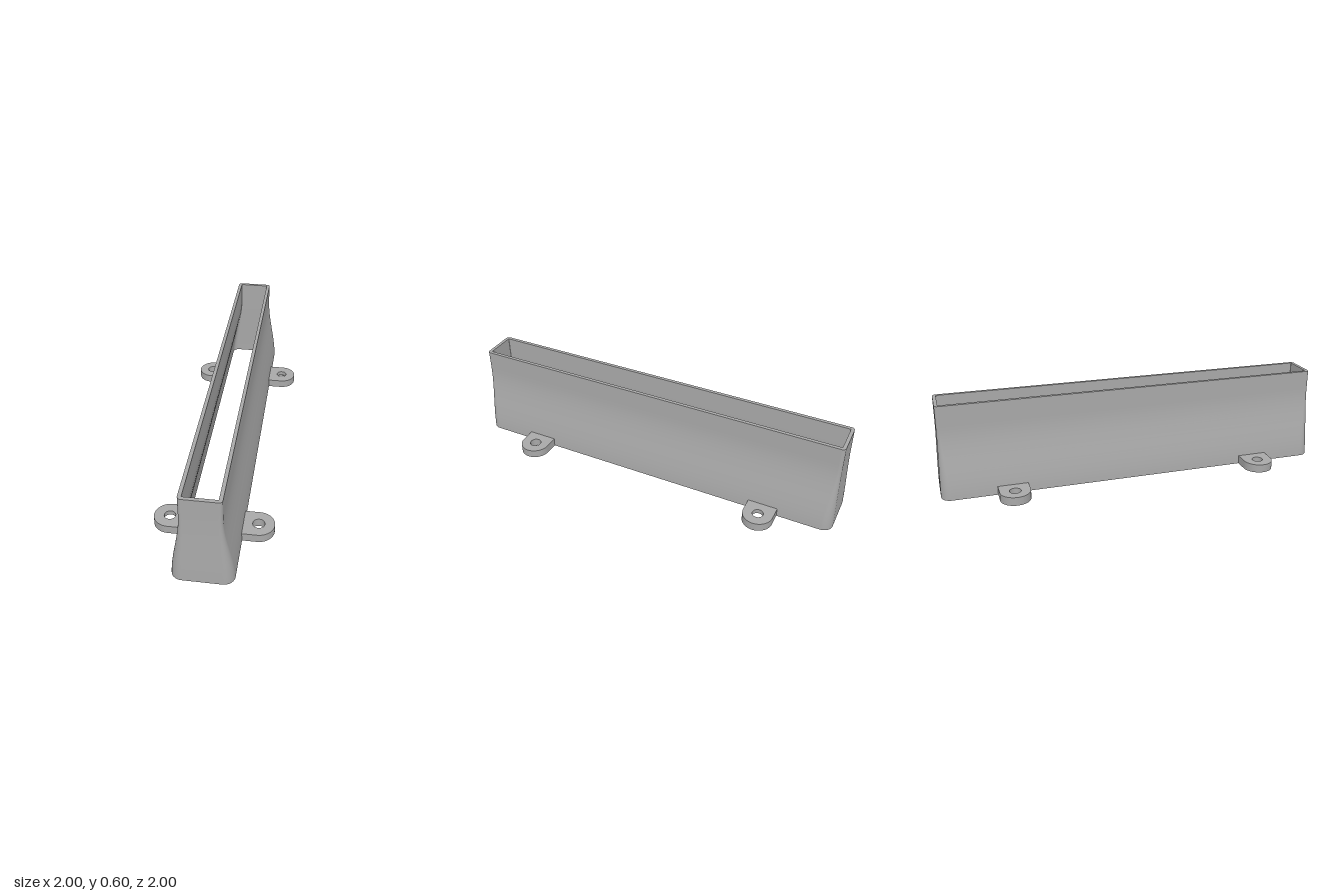
import * as THREE from 'three';

const HEIGHT = 0.6, WALL = 0.022, TAB_HEIGHT = 0.055;

// Rounded-rectangle loop at height y; flare eases out from the neck to the foot.
function ring(y, inset) {
  const t = 1 - THREE.MathUtils.smoothstep(y, -0.02, 0.47);
  const halfLength = THREE.MathUtils.lerp(1.26, 1.271, t) - inset;
  const halfWidth = THREE.MathUtils.lerp(0.12, 0.182, t) - inset;
  const r = Math.max(THREE.MathUtils.lerp(0.022, 0.065, t) - inset, 0.004);
  const pts = [];
  const steps = 8;
  for (let q = 0; q < 4; q++) {
    const cx = (halfLength - r) * (q === 0 || q === 3 ? 1 : -1);
    const cz = (halfWidth - r) * (q < 2 ? 1 : -1);
    for (let i = 0; i <= steps; i++) {
      const a = (q + i / steps) * Math.PI / 2;
      pts.push([cx + r * Math.cos(a), y, cz + r * Math.sin(a)]);
    }
  }
  return pts;
}

// Skin a sequence of closed loops.
function skin(rings) {
  const n = rings[0].length, index = [];
  for (let j = 0; j < rings.length - 1; j++) {
    for (let i = 0; i < n; i++) {
      const k = (i + 1) % n;
      const a = j * n + i, b = j * n + k, c = a + n, d = b + n;
      index.push(a, c, b, b, c, d);
    }
  }
  const g = new THREE.BufferGeometry();
  g.setAttribute('position', new THREE.Float32BufferAttribute(rings.flat(2), 3));
  g.setIndex(index);
  g.computeVertexNormals();
  return g;
}

// Round-ended lug with a screw hole, lying flat.
function lug(u, hole, height) {
  const v = 0.27, r = 0.097, root = 0.17;
  const s = new THREE.Shape();
  s.moveTo(u - r, root);
  s.lineTo(u + r, root);
  s.lineTo(u + r, v);
  s.absarc(u, v, r, 0, Math.PI, false);
  s.lineTo(u - r, root);
  s.holes.push(new THREE.Path().absarc(u, v, hole, 0, Math.PI * 2, true));
  const g = new THREE.ExtrudeGeometry(s, { depth: height, bevelEnabled: false, curveSegments: 24 });
  return g.rotateX(-Math.PI / 2);
}

export function createModel() {
  const model = new THREE.Group();
  model.name = 'ductAdapter';
  const grey = new THREE.MeshStandardMaterial({ color: 0xa8a8a8 });
  grey.name = 'grey plastic';
  const add = (parent, name, geometry) => {
    const m = new THREE.Mesh(geometry, grey);
    m.name = name;
    parent.add(m);
    return m;
  };

  // Hollow flared sleeve, open at both ends
  const sleeve = new THREE.Group();
  sleeve.name = 'sleeve';
  const levels = Array.from({ length: 21 }, (_, i) => i * HEIGHT / 20);
  add(sleeve, 'outerWall', skin(levels.map(y => ring(y, 0))));
  add(sleeve, 'innerWall', skin([...levels].reverse().map(y => ring(y, WALL))));
  add(sleeve, 'topRim', skin([ring(HEIGHT, 0), ring(HEIGHT, WALL)]));
  add(sleeve, 'bottomRim', skin([ring(0, WALL), ring(0, 0)]));
  model.add(sleeve);

  // Mounting lugs: one plain and one counterbored from below on each long side
  for (const turn of [0, Math.PI]) {
    const side = new THREE.Group();
    side.name = turn ? 'frontLugs' : 'backLugs';
    add(side, 'plainLug', lug(0.827, 0.037, TAB_HEIGHT));
    const bore = 0.025;
    add(side, 'counterboreLower', lug(-0.827, 0.062, bore));
    add(side, 'counterboreUpper', lug(-0.827, 0.035, TAB_HEIGHT - bore)).position.y = bore;
    side.rotation.y = turn;
    model.add(side);
  }

  // The sleeve lies along the diagonal
  model.rotation.y = -Math.PI / 4;
  const root = new THREE.Group();
  root.name = 'model';
  root.add(model);
  return root;
}
